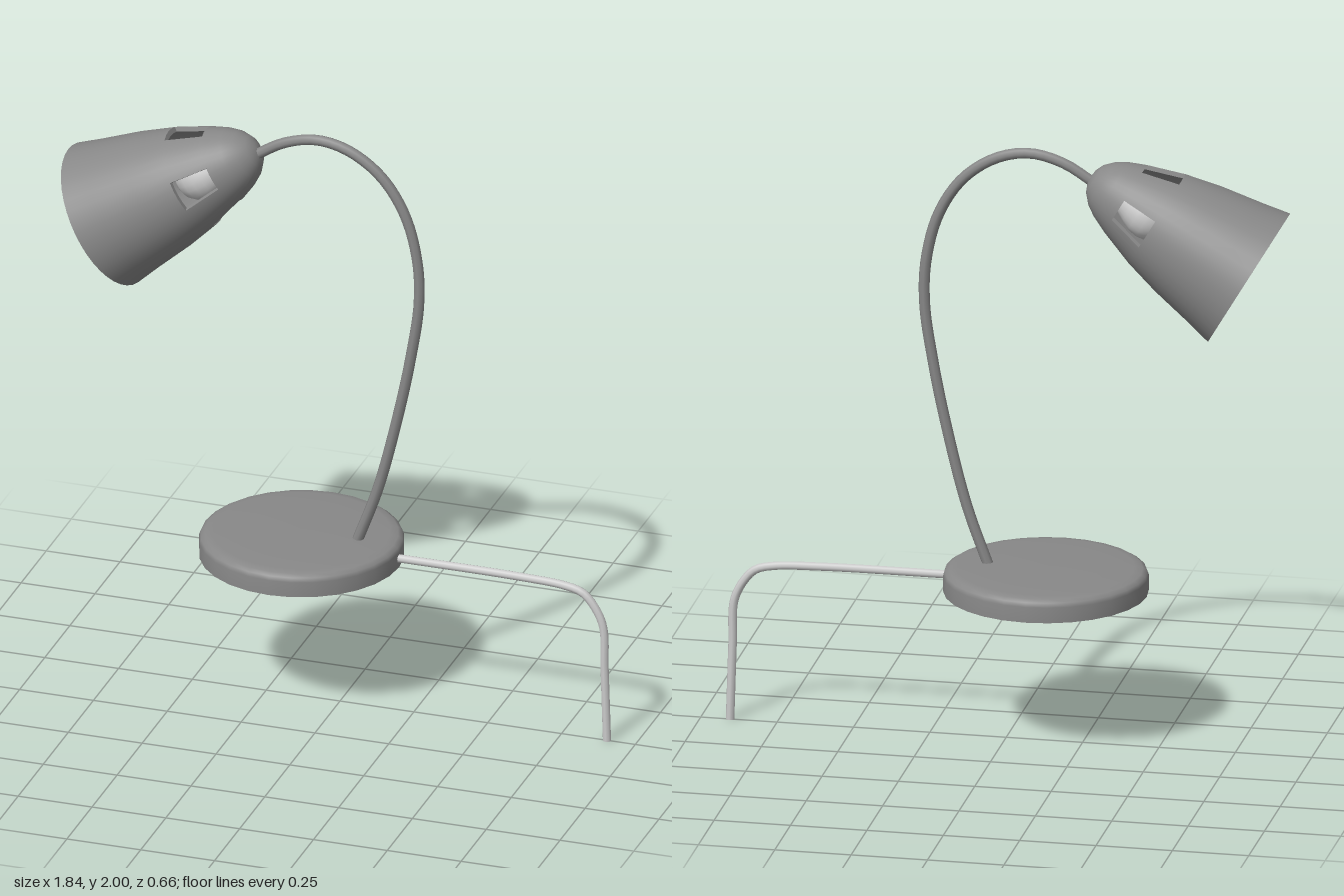
import * as THREE from 'three';

const dark = new THREE.MeshStandardMaterial({ color: 0x888888 });
const darkThin = new THREE.MeshStandardMaterial({ color: 0x888888, side: THREE.DoubleSide });
const light = new THREE.MeshStandardMaterial({ color: 0xcccccc });

const pts2 = (list) => list.map(([x, y]) => new THREE.Vector2(x, y));

function add(parent, name, geometry, material) {
  const mesh = new THREE.Mesh(geometry, material);
  mesh.name = name;
  parent.add(mesh);
  return mesh;
}

// Round rod through points in the x-y plane, closed by a disc at each end
function addRod(parent, name, path, radius, material) {
  const curve = new THREE.CatmullRomCurve3(path.map(([x, y]) => new THREE.Vector3(x, y, 0)), false, 'centripetal');
  const rod = add(parent, name, new THREE.TubeGeometry(curve, 60, radius, 8), material);
  for (const t of [0, 1]) {
    const cap = add(rod, name + 'End', new THREE.CircleGeometry(radius, 8), material);
    cap.position.copy(curve.getPoint(t));
    const out = curve.getTangent(t).multiplyScalar(t ? 1 : -1);
    cap.quaternion.setFromUnitVectors(new THREE.Vector3(0, 0, 1), out);
  }
}

// Shade outline from the opening to the neck, with the windows in one band
const shadeProfile = [
  [0.245, 0], [0.226, 0.09], [0.2, 0.23], [0.17, 0.35], [0.128, 0.47],
  [0.104, 0.525], [0.082, 0.56], [0.052, 0.588], [0.024, 0.6], [0, 0.602],
];
const windowBand = 3, halfWindow = Math.PI / 10, wall = 0.016;

// Lathed shell with four windows left out
function shellGeometry(inset) {
  const profile = pts2(shadeProfile.map(([r, y], i) => [i ? Math.max(r - inset, 0) : r, y]));
  const segments = 40, rows = profile.length - 1;
  const geometry = new THREE.LatheGeometry(profile, segments, -halfWindow);
  const all = geometry.index.array, kept = [];
  for (let i = 0; i < segments; i++) {
    for (let j = 0; j < rows; j++) {
      if (j === windowBand && i % 10 < 4) continue;
      const start = (i * rows + j) * 6;
      kept.push(...all.slice(start, start + 6));
    }
  }
  geometry.setIndex(kept);
  return geometry;
}

// Edges of the wall around one window
function addWindowFrame(parent, angle) {
  const [[r0, y0], [r1, y1]] = shadeProfile.slice(windowBand, windowBand + 2);
  for (const [r, y] of [[r0, y0], [r1, y1]]) {
    const ring = new THREE.RingGeometry(r - wall, r, 4, 1, angle - halfWindow, 2 * halfWindow);
    add(parent, 'windowEdge', ring.rotateX(-Math.PI / 2).translate(0, y, 0), darkThin);
  }
  const section = new THREE.Shape(pts2([[r0, y0], [r1, y1], [r1 - wall, y1], [r0 - wall, y0]]));
  for (const side of [-1, 1]) {
    const jamb = new THREE.ShapeGeometry(section).rotateY(angle + side * halfWindow);
    add(parent, 'windowJamb', jamb, darkThin);
  }
}

export function createModel() {
  const model = new THREE.Group();
  model.name = 'deskLamp';

  // Round weighted base with a softened upper edge
  const base = add(model, 'base', new THREE.LatheGeometry(pts2([
    [0, 0.506], [0.33, 0.506], [0.33, 0.506], [0.33, 0.558], [0.325, 0.572],
    [0.311, 0.581], [0.285, 0.585], [0.18, 0.589], [0, 0.59],
  ]), 28), dark);
  base.position.x = -0.13;

  // Curved neck from base to shade
  addRod(model, 'neck', [
    [0.055, 0.57], [0.13, 0.78], [0.2, 1.06], [0.24, 1.26], [0.267, 1.45], [0.262, 1.6],
    [0.22, 1.76], [0.14, 1.884], [0.03, 1.96], [-0.08, 1.982], [-0.19, 1.955], [-0.29, 1.895],
  ], 0.018, dark);

  // Power cable running out of the base and dropping over the edge
  addRod(model, 'cable', [
    [0.18, 0.538], [0.6, 0.536], [0.76, 0.528], [0.82, 0.512],
    [0.855, 0.477], [0.89, 0.405], [0.896, 0.25], [0.904, 0],
  ], 0.014, light);

  // Tilted lamp head; local y runs from the opening to the neck
  const head = new THREE.Group();
  head.name = 'head';
  head.position.set(-0.795, 1.61, 0);
  head.rotation.z = -1.034;
  model.add(head);

  add(head, 'shadeOutside', shellGeometry(0), darkThin);
  add(head, 'shadeInside', shellGeometry(wall), darkThin);
  for (let k = 0; k < 4; k++) addWindowFrame(head, k * Math.PI / 2);

  // Bulb with its socket
  add(head, 'bulb', new THREE.LatheGeometry(pts2([
    [0, 0.29], [0.033, 0.296], [0.062, 0.316], [0.08, 0.346], [0.085, 0.378],
    [0.08, 0.41], [0.066, 0.44], [0.05, 0.47],
  ]), 24), light);
  const socket = add(head, 'socket', new THREE.CylinderGeometry(0.045, 0.05, 0.1, 20), light);
  socket.position.y = 0.52;

  return model;
}
